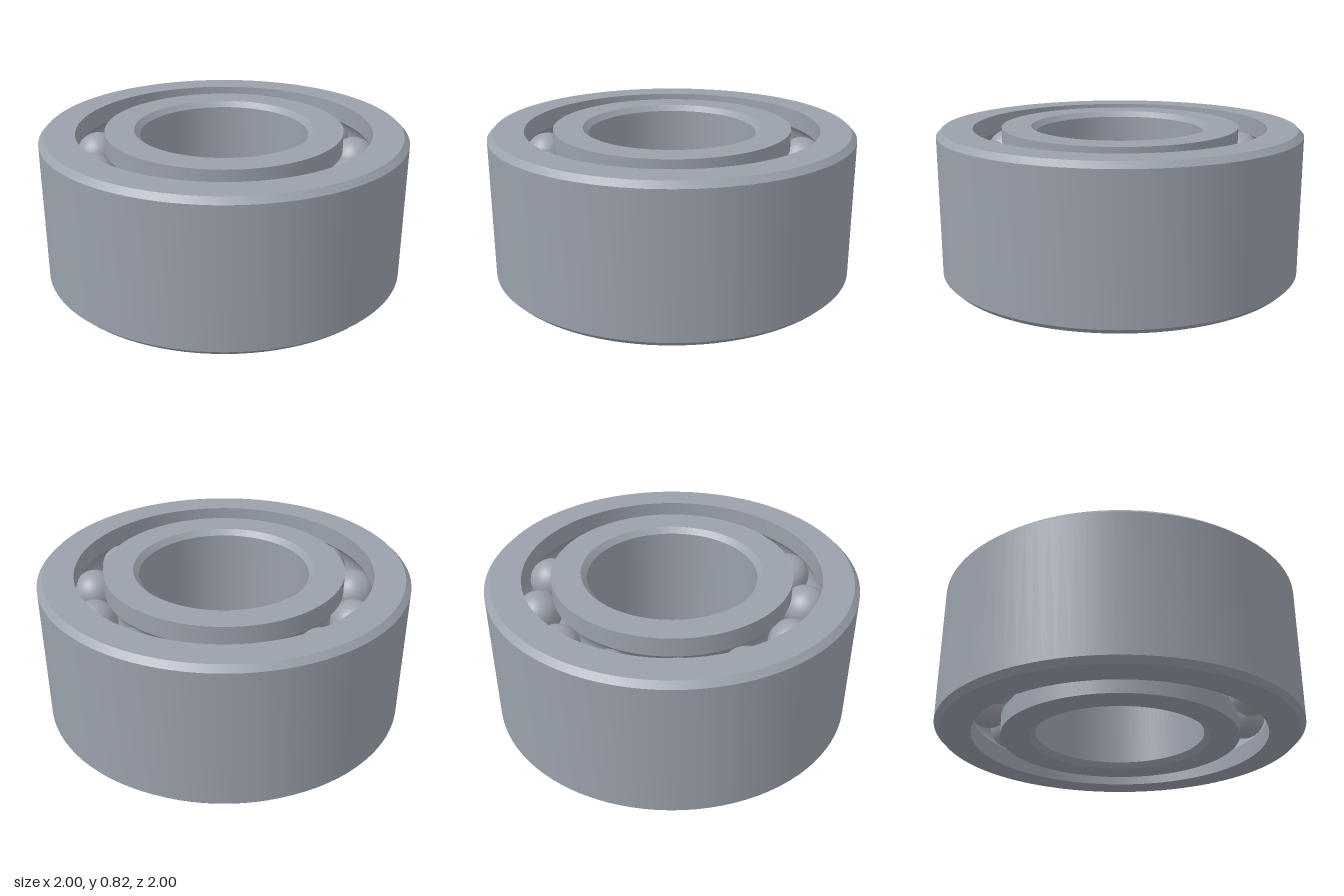
import * as THREE from 'three';
import { toCreasedNormals } from 'three/addons/utils/BufferGeometryUtils.js';

const HEIGHT = 0.82;
const CHAMFER = 0.03;
const ROWS = [HEIGHT / 4, HEIGHT * 3 / 4]; // heights of the two ball rows
const PITCH = 0.7275;                      // radius of the ball circle
const BALL = 0.123;
const GROOVE = 0.126;
const BALL_COUNT = 13;
const FIRST_ANGLE = THREE.MathUtils.degToRad(12);

// Wall with two round raceway grooves, listed from bottom to top.
// side = 1 for the outer ring's wall, -1 for the inner ring's wall
function racewayWall(radius, side) {
  const half = Math.acos(Math.abs(radius - PITCH) / GROOVE);
  const points = [new THREE.Vector2(radius, 0)];
  for (const y of ROWS) {
    for (let i = 0; i <= 12; i++) {
      const a = -half + (2 * half * i) / 12;
      points.push(new THREE.Vector2(PITCH + side * GROOVE * Math.cos(a), y + GROOVE * Math.sin(a)));
    }
  }
  points.push(new THREE.Vector2(radius, HEIGHT));
  return points;
}

// Plain wall with a chamfer at both ends, listed from bottom to top
function chamferedWall(radius, endRadius) {
  return [[endRadius, 0], [radius, CHAMFER], [radius, HEIGHT - CHAMFER], [endRadius, HEIGHT]]
    .map(([x, y]) => new THREE.Vector2(x, y));
}

// Closed ring: up the outside wall, across the top, down the inside wall
function ring(name, outside, inside, material) {
  const profile = [...outside, ...inside.reverse(), outside[0].clone()];
  const geometry = toCreasedNormals(new THREE.LatheGeometry(profile, 96), 0.4);
  const mesh = new THREE.Mesh(geometry, material);
  mesh.name = name;
  return mesh;
}

export function createModel() {
  const steel = new THREE.MeshStandardMaterial({ color: 0x9aa1ab });
  steel.name = 'steel grey';

  const model = new THREE.Group();
  model.name = 'doubleRowBallBearing';

  model.add(ring('outerRing', chamferedWall(1, 1 - CHAMFER), racewayWall(0.805, 1), steel));
  model.add(ring('innerRing', racewayWall(0.65, -1), chamferedWall(0.46, 0.46 + CHAMFER), steel));

  // Two aligned rows of balls
  const ballGeometry = new THREE.SphereGeometry(BALL, 32, 20);
  ROWS.forEach((y, row) => {
    const balls = new THREE.Group();
    balls.name = row === 0 ? 'lowerBallRow' : 'upperBallRow';
    for (let i = 0; i < BALL_COUNT; i++) {
      const a = FIRST_ANGLE + (i * Math.PI * 2) / BALL_COUNT;
      const ball = new THREE.Mesh(ballGeometry, steel);
      ball.name = 'ball';
      ball.position.set(PITCH * Math.cos(a), y, PITCH * Math.sin(a));
      balls.add(ball);
    }
    model.add(balls);
  });

  return model;
}
